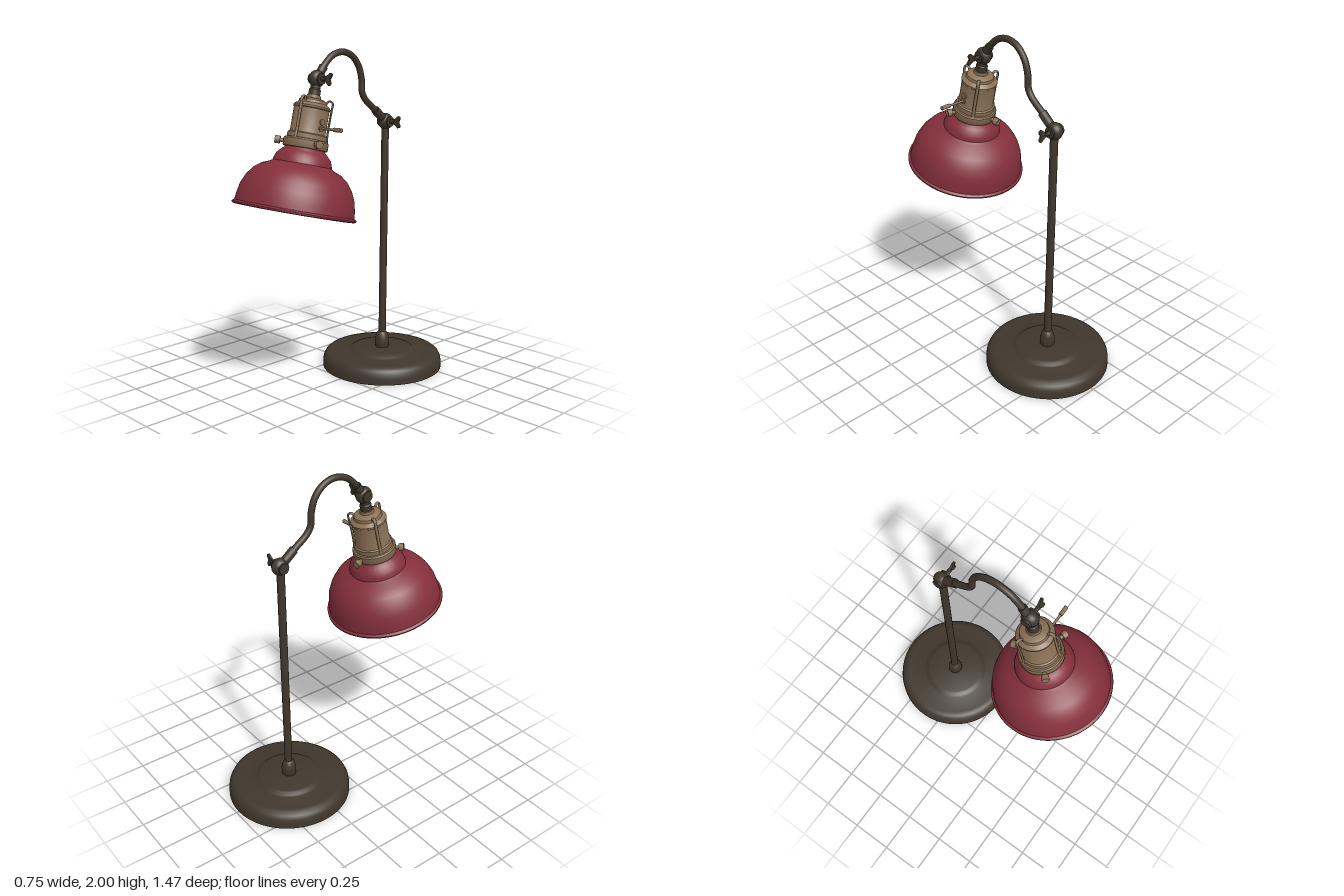
import * as THREE from 'three';
import { toCreasedNormals } from 'three/addons/utils/BufferGeometryUtils.js';

const V = (x, y, z) => new THREE.Vector3(x, y, z);

export function createModel() {
  const mat = (name, color, side = THREE.FrontSide) =>
    Object.assign(new THREE.MeshStandardMaterial({ color, side }), { name });
  const bronze = mat('dark bronze', 0x40372d);
  const brass = mat('aged brass', 0x8a7055);
  const red = mat('red enamel', 0x842f3b);
  const white = mat('white enamel', 0xe8e8e8, THREE.DoubleSide);

  const add = (parent, name, geometry, material) => {
    const mesh = new THREE.Mesh(geometry, material);
    mesh.name = name;
    parent.add(mesh);
    return mesh;
  };
  // Turned part from [radius, height] pairs, listed bottom to top
  const turned = (parent, name, profile, material, segments = 64) =>
    add(parent, name, toCreasedNormals(new THREE.LatheGeometry(
      profile.map(([r, y]) => new THREE.Vector2(r, y)), segments), 0.6), material);
  // Round bar between two points
  const rod = (parent, name, a, b, r, material, r2 = r) => {
    const dir = b.clone().sub(a);
    const mesh = add(parent, name, new THREE.CylinderGeometry(r2, r, dir.length(), 24), material);
    mesh.position.copy(a).addScaledVector(dir, 0.5);
    mesh.quaternion.setFromUnitVectors(V(0, 1, 0), dir.normalize());
    return mesh;
  };

  // Swivel joint: ball, flat side hubs and a wing nut on +x
  const wing = new THREE.Shape();
  wing.moveTo(0.06, -0.012);
  wing.quadraticCurveTo(0.08, -0.012, 0.1, -0.034);
  wing.quadraticCurveTo(0.122, -0.034, 0.114, -0.015);
  wing.quadraticCurveTo(0.1, 0, 0.114, 0.015);
  wing.quadraticCurveTo(0.122, 0.034, 0.1, 0.034);
  wing.quadraticCurveTo(0.08, 0.012, 0.06, 0.012);
  const wingGeometry = new THREE.ExtrudeGeometry(wing,
    { depth: 0.008, bevelSize: 0.002, bevelThickness: 0.002, bevelSegments: 2 });
  wingGeometry.translate(0, 0, -0.004);
  const swivel = (parent, name, y, z) => {
    const joint = new THREE.Group();
    joint.name = name;
    joint.position.set(0, y, z);
    parent.add(joint);
    add(joint, 'jointBall', new THREE.SphereGeometry(0.05, 32, 20), bronze).scale.x = 0.85;
    rod(joint, 'jointHub', V(-0.042, 0, 0), V(0.042, 0, 0), 0.032, bronze);
    rod(joint, 'wingNutShaft', V(0.04, 0, 0), V(0.075, 0, 0), 0.012, bronze);
    add(joint, 'wingNut', wingGeometry, bronze);
    return joint;
  };

  const lamp = new THREE.Group();
  lamp.name = 'deskLamp';

  // Weighted base with a raised centre, and the collar on it
  const foot = new THREE.Group();
  foot.name = 'foot';
  foot.position.z = -0.356;
  lamp.add(foot);
  turned(foot, 'base', [[0, 0], [0.377, 0], [0.377, 0.035], [0.373, 0.06], [0.362, 0.082],
    [0.345, 0.096], [0.32, 0.101], [0.215, 0.101], [0.203, 0.106], [0.19, 0.117],
    [0.175, 0.121], [0, 0.121]], bronze, 96);
  turned(foot, 'postCollar', [[0.04, 0.115], [0.045, 0.135], [0.045, 0.165], [0.04, 0.19],
    [0.031, 0.215], [0.022, 0.222], [0, 0.222]], bronze, 32);

  // Post and lower joint
  rod(lamp, 'post', V(0, 0.2, -0.357), V(0, 1.55, -0.368), 0.023, bronze);
  swivel(lamp, 'lowerJoint', 1.56, -0.37);

  // Gooseneck arm
  const path = [[1.56, -0.37], [1.635, -0.275], [1.7, -0.19], [1.745, -0.162], [1.82, -0.157],
    [1.9, -0.13], [1.958, -0.075], [1.981, 0], [1.963, 0.08], [1.91, 0.145], [1.834, 0.205]];
  add(lamp, 'arm', new THREE.TubeGeometry(new THREE.CatmullRomCurve3(
    path.map(([y, z]) => V(0, y, z))), 90, 0.019, 16), bronze);
  rod(lamp, 'armFerrule', V(0, 1.575, -0.35), V(0, 1.635, -0.275), 0.026, bronze);
  rod(lamp, 'armFerrule', V(0, 1.85, 0.193), V(0, 1.9, 0.154), 0.025, bronze);

  // Tilted head, its origin at the centre of the shade opening
  const head = new THREE.Group();
  head.name = 'head';
  head.position.set(0, 1.093, 0.389);
  head.rotation.x = -0.243;
  lamp.add(head);

  // Shade: red outside with a rolled lip, white lining
  const dome = [[0.342, 0.022], [0.338, 0.06], [0.326, 0.118], [0.303, 0.17], [0.268, 0.218],
    [0.225, 0.25], [0.185, 0.266], [0.169, 0.276], [0.165, 0.295], [0.155, 0.32],
    [0.135, 0.342], [0.115, 0.36], [0.105, 0.385]];
  turned(head, 'shade', [[0.338, 0.004], [0.347, 0], [0.355, 0.004], [0.355, 0.012],
    [0.349, 0.018], ...dome], red, 96);
  const lining = dome.map(([r, y]) => [r - 0.007, y - 0.005]);
  turned(head, 'shadeLining', [[0.338, 0.004], ...lining, [0, 0.38]].reverse(), white, 96);

  // Lamp socket: gallery ring, shell and stepped cap
  turned(head, 'socket', [[0.1, 0.362], [0.124, 0.366], [0.128, 0.372], [0.128, 0.41],
    [0.122, 0.418], [0.113, 0.42], [0.113, 0.446], [0.104, 0.452], [0.101, 0.46],
    [0.101, 0.59], [0.105, 0.594], [0.105, 0.604], [0.098, 0.612], [0.082, 0.622],
    [0.078, 0.638], [0.06, 0.648], [0.042, 0.652], [0.04, 0.668], [0, 0.668]], brass);
  turned(head, 'socketNeck', [[0.034, 0.66], [0.034, 0.7], [0.028, 0.708], [0.028, 0.76]], bronze, 32);
  swivel(head, 'upperJoint', 0.763, 0);

  // Three thumb screws and three spring wires around the socket
  for (let i = 0; i < 3; i++) {
    const screw = new THREE.Group();
    screw.name = 'thumbScrew';
    screw.rotation.y = -(0.3 + i * Math.PI * 2 / 3);
    head.add(screw);
    rod(screw, 'screwShaft', V(0.11, 0.392, 0), V(0.15, 0.392, 0), 0.011, brass);
    rod(screw, 'screwHead', V(0.146, 0.392, 0), V(0.176, 0.392, 0), 0.022, brass);

    const wire = [[0.117, 0.41], [0.112, 0.46], [0.112, 0.6], [0.113, 0.635], [0.105, 0.648],
      [0.088, 0.648], [0.078, 0.635], [0.074, 0.615]];
    const clip = add(head, 'springWire', new THREE.TubeGeometry(new THREE.CatmullRomCurve3(
      wire.map(([r, y]) => V(r, y, 0))), 40, 0.006, 8), brass);
    clip.scale.z = 1.6;
    clip.rotation.y = -(1.34 + i * Math.PI * 2 / 3);
  }

  // Turn key on the left side of the socket
  for (const y of [0.487, 0.522])
    rod(head, 'keyBoss', V(0.09, y, 0), V(0.108, y, 0), 0.017, brass);
  rod(head, 'keyStem', V(0.1, 0.487, 0), V(0.215, 0.487, 0), 0.007, brass);
  rod(head, 'keyTip', V(0.205, 0.487, 0), V(0.262, 0.487, 0), 0.012, brass);

  return lamp;
}
